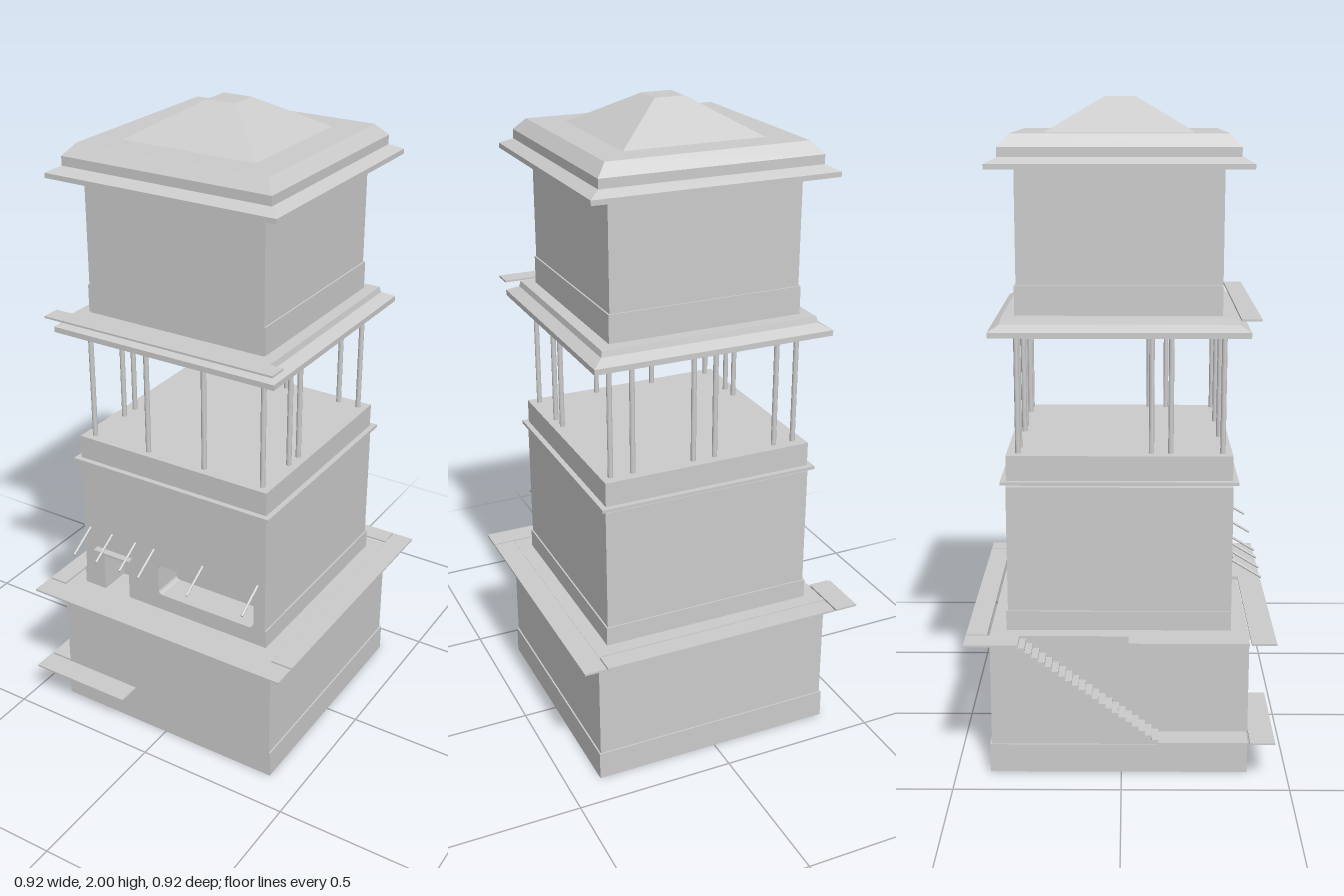
import * as THREE from 'three';

const material = new THREE.MeshStandardMaterial({ color: 0xcccccc, flatShading: true });
const CX = 0.002, CZ = -0.006; // centre of the tower shaft

export function createModel() {
  const model = new THREE.Group();

  const add = (name, geometry, parent = model) => {
    const mesh = new THREE.Mesh(geometry, material);
    mesh.name = name;
    parent.add(mesh);
    return mesh;
  };
  const group = (name) => {
    const g = new THREE.Group();
    g.name = name;
    model.add(g);
    return g;
  };
  // Box given by its limits on each axis
  const box = (name, x0, x1, y0, y1, z0, z1, parent) => {
    const mesh = add(name, new THREE.BoxGeometry(x1 - x0, y1 - y0, z1 - z0), parent);
    mesh.position.set((x0 + x1) / 2, (y0 + y1) / 2, (z0 + z1) / 2);
    return mesh;
  };
  // Square moulding from [half width, height] pairs
  const squareLathe = (name, profile) => {
    const points = profile.map(([w, y]) => new THREE.Vector2(w * Math.SQRT2, y));
    const mesh = add(name, new THREE.LatheGeometry(points, 4, Math.PI / 4));
    mesh.position.set(CX, 0, CZ);
    return mesh;
  };
  // Thin skirting on the two sides and the back of a storey
  const skirting = (name, half, y0, y1) => {
    const g = group(name), t = 0.005;
    for (const s of [-1, 1]) {
      const x = CX + s * (half + t / 2);
      box('sideSkirting', x - t / 2, x + t / 2, y0, y1, CZ - half - t, CZ + half, g);
    }
    box('backSkirting', CX - half, CX + half, y0, y1, CZ - half - t, CZ - half, g);
  };
  const storey = (name, half, y0, y1) =>
    box(name, CX - half, CX + half, y0, y1, CZ - half, CZ + half);

  // Ground storey
  storey('groundStorey', 0.387, 0, 0.44);
  skirting('groundSkirting', 0.387, 0, 0.09);

  // Walkway around the top of the ground storey
  const walkway = group('walkway');
  const deck = (name, x0, x1, z0, z1, y = 0.44, parent = walkway) =>
    box(name, x0, x1, y - 0.003, y + 0.003, z0, z1, parent);
  deck('backDeck', -0.383, 0.387, -0.463, -0.4);
  deck('leftDeck', 0.391, 0.46, -0.463, 0.377);
  deck('rightBackDeck', -0.462, -0.388, -0.463, -0.303);
  deck('rightFrontDeck', -0.447, -0.388, 0.022, 0.377);
  deck('frontDeck', -0.447, 0.46, 0.383, 0.457);

  // Stairs down to the lower landing
  const stairs = group('stairs');
  const steps = 21;
  for (let i = 0; i < steps; i++) {
    const z = -0.303 + i * 0.0197;
    deck('step', -0.462, -0.388, z, z + 0.0197, 0.43 - i * 0.0145, stairs);
  }
  deck('sideLanding', -0.462, -0.388, 0.11, 0.377, 0.13, stairs);
  deck('frontLanding', -0.462, -0.115, 0.383, 0.458, 0.13, stairs);

  // Second storey: solid core and a front wall with door and window recesses
  const front = 0.329, depth = 0.1;
  box('secondStorey', -0.333, 0.337, 0.44, 0.885, -0.341, front - depth);
  const wall = new THREE.Shape([
    [-0.333, 0.44], [-0.26, 0.44], [-0.26, 0.585], [-0.165, 0.585],
    [-0.165, 0.44], [0.337, 0.44], [0.337, 0.885], [-0.333, 0.885],
  ].map(([x, y]) => new THREE.Vector2(x, y)));
  const [l, r, b, t, c] = [-0.05, 0.297, 0.495, 0.602, 0.014];
  const windowHole = new THREE.Path();
  windowHole.absarc(r - c, t - c, c, 0, Math.PI / 2);
  windowHole.absarc(l + c, t - c, c, Math.PI / 2, Math.PI);
  windowHole.absarc(l + c, b + c, c, Math.PI, Math.PI * 1.5);
  windowHole.absarc(r - c, b + c, c, Math.PI * 1.5, Math.PI * 2);
  wall.holes.push(windowHole);
  add('frontWall', new THREE.ExtrudeGeometry(wall, { depth, bevelEnabled: false, curveSegments: 5 }))
    .position.z = front - depth;
  skirting('secondSkirting', 0.335, 0.44, 0.5);
  box('doorCanopy', -0.285, -0.15, 0.583, 0.592, front, 0.351);

  // Slanted lamp rods on the front wall
  const lamps = group('lampRods');
  for (const x of [-0.31, -0.225, -0.135, -0.065, 0.115, 0.31]) {
    const rod = add('lampRod', new THREE.CylinderGeometry(0.004, 0.004, 0.106, 8), lamps);
    rod.position.set(x, 0.628, 0.373);
    rod.rotation.x = -Math.atan2(0.09, 0.055);
  }

  // Ledge and solid parapet above the second storey
  storey('ledge', 0.35, 0.895, 0.905);
  storey('parapet', 0.333, 0.905, 0.98);

  // Open storey columns
  const columns = group('columns');
  const columnSpots = [
    ...[-0.295, -0.095, 0.105, 0.305].map((x) => [x, 0.298]),
    ...[-0.295, -0.23, -0.03, 0.04, 0.235, 0.305].map((x) => [x, -0.305]),
    ...[-0.295, 0.305].flatMap((x) => [[x, 0.145], [x, 0.088]]),
  ];
  for (const [x, z] of columnSpots) {
    add('column', new THREE.CylinderGeometry(0.008, 0.008, 0.357, 12), columns)
      .position.set(x, 1.1575, z);
  }

  // Cornice and front balcony strip
  squareLathe('middleCornice', [
    [0, 1.335], [0.375, 1.335], [0.375, 1.352], [0.342, 1.37], [0.338, 1.388], [0, 1.388],
  ]);
  box('balconyStrip', -0.385, 0.388, 1.387, 1.393, 0.338, 0.396);

  // Top storey
  storey('topStorey', 0.297, 1.385, 1.81);
  skirting('topSkirting', 0.297, 1.39, 1.475);

  // Roof with stepped cornice and truncated pyramid
  squareLathe('roofCornice', [
    [0, 1.805], [0.375, 1.805], [0.375, 1.82], [0.34, 1.837],
    [0.34, 1.865], [0.308, 1.9], [0, 1.9],
  ]);
  squareLathe('roofPyramid', [[0.217, 1.9], [0.046, 2], [0, 2]]);

  return model;
}
